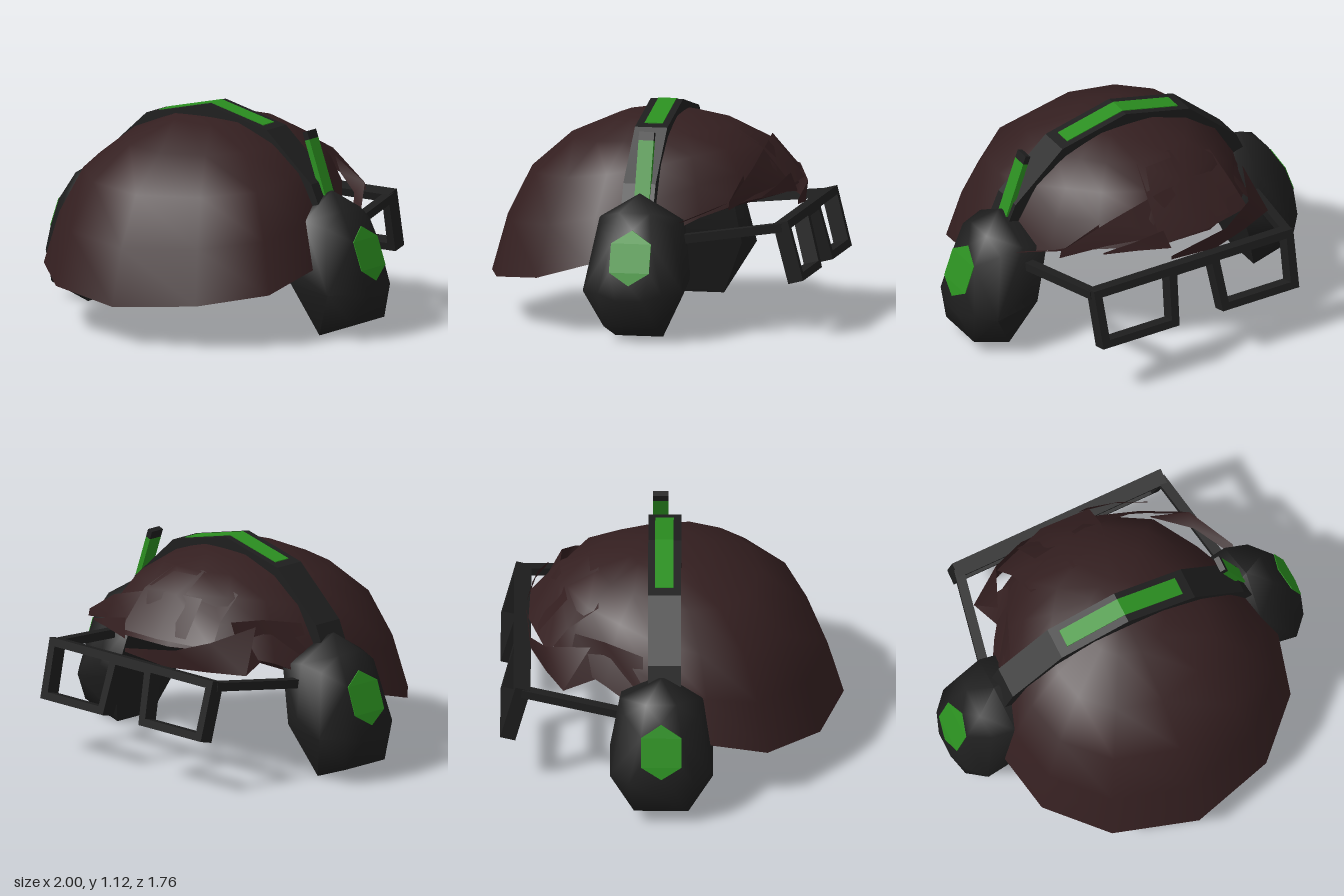
import * as THREE from 'three';
import { ConvexGeometry } from 'three/addons/geometries/ConvexGeometry.js';
import { mergeVertices, toCreasedNormals } from 'three/addons/utils/BufferGeometryUtils.js';

const material = (name, color, side = THREE.FrontSide) => {
  const m = new THREE.MeshStandardMaterial({ color, side });
  m.name = name;
  return m;
};

// Smooth surface through rows of points, rows running top to bottom
function grid(rows) {
  const n = rows[0].length, index = [];
  for (let r = 0; r < rows.length - 1; r++)
    for (let i = 0; i < n - 1; i++) {
      const a = r * n + i, b = a + n;
      index.push(a, b, b + 1, a, b + 1, a + 1);
    }
  const g = new THREE.BufferGeometry();
  g.setAttribute('position', new THREE.Float32BufferAttribute(rows.flat(2), 3));
  g.setIndex(index);
  const joined = mergeVertices(g);
  joined.computeVertexNormals();
  return joined;
}

// Outline in x and y, given thickness along z
function slab(points, depth, hole) {
  const v = (list) => list.map(([x, y]) => new THREE.Vector2(x, y));
  const shape = new THREE.Shape(v(points));
  if (hole) shape.holes.push(new THREE.Path(v(hole)));
  return new THREE.ExtrudeGeometry(shape, { depth, bevelEnabled: false });
}

// Completes a half outline (from the middle to +x) across x = 0
const mirrored = (half) => [...half.slice(1).reverse().map(([x, ...p]) => [-x, ...p]), ...half];

export function createModel() {
  const model = new THREE.Group();
  const brown = material('hair brown', 0x341f20, THREE.DoubleSide);
  const black = material('charcoal', 0x1e1e1e);
  const green = material('green', 0x2b8f20);
  const add = (name, geometry, mat, parent = model) => {
    const mesh = new THREE.Mesh(geometry, mat);
    mesh.name = name;
    parent.add(mesh);
    return mesh;
  };

  // Hair shell: a domed profile swept from the crown to an uneven rim
  const halfRim = [[0, 0.2, 0.88], [0.44, 0.235, 0.76], [0.71, 0.28, 0.49], [0.78, 0.37, 0.2],
    [0.72, 0.48, -0.1], [0.58, 0.6, -0.34], [0.43, 0.67, -0.55], [0.16, 0.68, -0.7]];
  const rim = [...halfRim, ...halfRim.slice(1).reverse().map(([x, y, z]) => [-x, y, z]), halfRim[0]];
  const crown = [0, 1.06, -0.04];
  const profile = [[0, 0], [0.26, 0.015], [0.54, 0.145], [0.77, 0.36], [0.91, 0.66], [1, 1]];
  add('hairShell', grid(profile.map(([out, drop]) => rim.map(([x, y, z]) => [
    x * out, crown[1] + (y - crown[1]) * drop, crown[2] + (z - crown[2]) * out,
  ]))), brown);

  // Closed underside of the hair
  add('hairUnderside', grid([rim.map(() => [0, 0.44, 0.02]), [...rim].reverse()]), brown);

  // Locks of the swept fringe
  const locks = {
    sweptLock: [
      [[0.61, 0.69, -0.5], [0.36, 0.83, -0.57], [0.05, 0.92, -0.58], [-0.25, 0.92, -0.54]],
      [[0.62, 0.65, -0.5], [0.4, 0.7, -0.59], [0.1, 0.73, -0.7], [-0.28, 0.74, -0.69]],
    ],
    upperLock: [
      [[0.1, 1.0, -0.4], [-0.1, 1.01, -0.38], [-0.35, 0.93, -0.38]],
      [[0.14, 0.91, -0.57], [-0.1, 0.92, -0.58], [-0.38, 0.82, -0.54]],
      [[0.15, 0.72, -0.73], [-0.12, 0.72, -0.74], [-0.42, 0.7, -0.64]],
    ],
    tipLock: [
      [[0.44, 0.7, -0.64], [0.3, 0.74, -0.69], [0.13, 0.78, -0.72]],
      [[0.44, 0.69, -0.64], [0.28, 0.7, -0.71], [0.1, 0.68, -0.75]],
    ],
    lowFringe: [
      [[0.1, 0.63, -0.75], [-0.24, 0.68, -0.73], [-0.42, 0.74, -0.65], [-0.52, 0.8, -0.42]],
      [[0.1, 0.61, -0.75], [-0.18, 0.58, -0.73], [-0.4, 0.58, -0.65], [-0.59, 0.58, -0.56]],
    ],
    rightSideLock: [
      [[-0.42, 0.82, -0.5], [-0.5, 0.82, -0.35], [-0.58, 0.78, -0.15]],
      [[-0.59, 0.58, -0.56], [-0.52, 0.62, -0.36], [-0.66, 0.6, -0.15]],
    ],
    leftSideLock: [
      [[0.75, 0.6, -0.27], [0.61, 0.69, -0.5], [0.4, 0.8, -0.53]],
      [[0.72, 0.58, -0.24], [0.6, 0.65, -0.42], [0.42, 0.71, -0.55]],
    ],
  };
  for (const [name, rows] of Object.entries(locks)) add(name, grid(rows), brown);

  // Headband arch with a thin inlaid strip
  const outer = mirrored([[0, 1.12], [0.38, 1.03], [0.66, 0.78], [0.74, 0.6]]);
  const inner = mirrored([[0, 1.04], [0.35, 0.95], [0.59, 0.73], [0.64, 0.6]]);
  add('headband', slab([...outer, ...inner.reverse()], 0.17), black).position.z = -0.125;
  const stripTop = mirrored([[0, 1.124], [0.33, 1.046]]);
  const stripLow = mirrored([[0, 1.116], [0.33, 1.038]]).reverse();
  add('headbandStrip', slab([...stripTop, ...stripLow], 0.095), green).position.z = -0.09;

  // Ear cups: rounded hulls, points as x, y and half-width in z, with a flush patch
  const cupMid = -0.055;
  const patch = [[0.905, 0.575, 0], [0.932, 0.51, 0.105], [0.983, 0.365, 0.105], [1, 0.3, 0]];
  const shifted = (dx) => patch.map(([x, y, w]) => [x + dx, y, w]);
  const cupPoints = [[0.72, 0.74, 0], [0.84, 0.655, 0.08], [0.7, 0.61, 0.215], [0.82, 0.58, 0.19],
    [0.72, 0.33, 0.265], [0.88, 0.25, 0.265], [0.965, 0.25, 0.17], ...shifted(-0.004),
    [1, 0.22, 0.07], [0.95, 0.08, 0.14], [0.73, 0, 0.125], [0.63, 0.28, 0.24], [0.55, 0.58, 0.2], [0.56, 0.66, 0.05]];
  const hull = (points, s) => new ConvexGeometry(points.flatMap(([x, y, w]) =>
    [w, -w].map((z) => new THREE.Vector3(x * s, y, cupMid + z))));
  for (const s of [1, -1]) {
    const side = s > 0 ? 'left' : 'right';
    const cup = hull(cupPoints, s);
    cup.deleteAttribute('normal');
    add(side + 'EarCup', toCreasedNormals(mergeVertices(cup), 1.15), black);
    add(side + 'EarCupPatch', hull([...patch, ...shifted(-0.008)], s), green);
  }

  // Antenna leaning inward over the left cup
  const antenna = new THREE.Group();
  antenna.name = 'antenna';
  antenna.position.set(0.69, 0.7, -0.062);
  antenna.rotation.z = 0.34;
  model.add(antenna);
  add('antennaBlade', new THREE.BoxGeometry(0.03, 0.31, 0.08).translate(0, 0.155, 0), green, antenna);
  add('antennaTip', new THREE.BoxGeometry(0.03, 0.045, 0.08).translate(0, 0.332, 0), black, antenna);

  // Glasses: two tilted frames joined by a bridge
  const glasses = new THREE.Group();
  glasses.name = 'glasses';
  glasses.position.set(0, 0.602, -0.805);
  glasses.rotation.x = 0.25;
  model.add(glasses);
  for (const s of [1, -1]) {
    const side = s > 0 ? 'left' : 'right';
    const flip = (list) => list.map(([x, y]) => [x * s, y]);
    add(side + 'LensFrame', slab(
      flip([[0.1, 0], [0.595, 0], [0.585, -0.32], [0.13, -0.32]]), 0.08,
      flip([[0.17, -0.28], [0.54, -0.28], [0.55, -0.042], [0.15, -0.042]])), black, glasses);

    // Temple arm from frame to ear cup
    const from = new THREE.Vector3(0.575 * s, 0.565, -0.77), to = new THREE.Vector3(0.68 * s, 0.5, -0.24);
    const arm = add(side + 'Arm', new THREE.BoxGeometry(0.05, 0.045, from.distanceTo(to)), black);
    arm.position.copy(from).lerp(to, 0.5);
    arm.lookAt(to);
  }
  add('bridge', new THREE.BoxGeometry(0.24, 0.05, 0.08).translate(0, -0.025, 0.04), black, glasses);
  return model;
}
